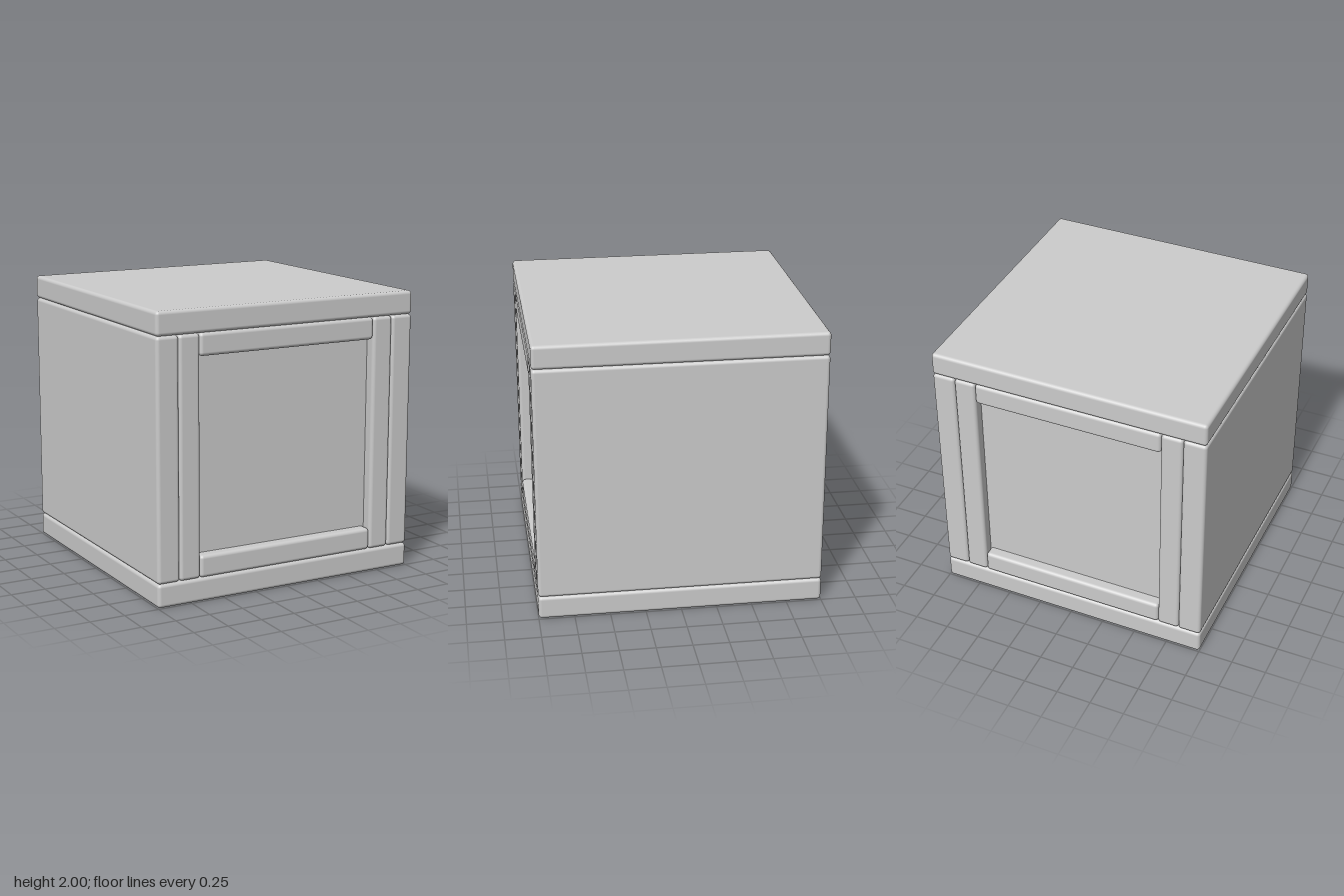
import * as THREE from 'three';
import { RoundedBoxGeometry } from 'three/addons/geometries/RoundedBoxGeometry.js';

export function createModel() {
  const model = new THREE.Group();
  model.name = 'crate';
  const material = new THREE.MeshStandardMaterial({ color: 0xcccccc });

  const SIZE = 2;      // overall cube
  const OUTER = 0.165; // outer board thickness
  const INNER = 0.155; // inner frame board thickness
  const RECESS = 0.08; // depth of the sunken panels
  const RADIUS = 0.025;

  function add(name, geometry, x, y) {
    const mesh = new THREE.Mesh(geometry, material);
    mesh.name = name;
    mesh.position.set(x, y, 0);
    model.add(mesh);
  }
  // Boards run the full depth, so front and back match
  const board = (name, w, h, x, y) =>
    add(name, new RoundedBoxGeometry(w, h, SIZE, 4, RADIUS), x, y);

  const wallHeight = SIZE - 2 * OUTER;
  const opening = wallHeight - 2 * INNER;
  const mid = SIZE / 2;

  // Lid and base, with the inner rails against them
  for (const [s, outerName, innerName] of [[1, 'lid', 'topRail'], [-1, 'base', 'bottomRail']]) {
    board(outerName, SIZE, OUTER, 0, mid + s * (SIZE - OUTER) / 2);
    board(innerName, opening, INNER, 0, mid + s * (wallHeight - INNER) / 2);
  }

  // Side walls and the inner stiles beside them
  for (const [s, side] of [[1, 'left'], [-1, 'right']]) {
    board(side + 'Wall', OUTER, wallHeight, s * (SIZE - OUTER) / 2, mid);
    board(side + 'Stile', INNER, wallHeight, s * (wallHeight - INNER) / 2, mid);
  }

  // Core whose ends form the sunken front and back panels
  const core = opening + 0.06;
  add('recessedPanels', new THREE.BoxGeometry(core, core, SIZE - 2 * RECESS), 0, mid);

  return model;
}
